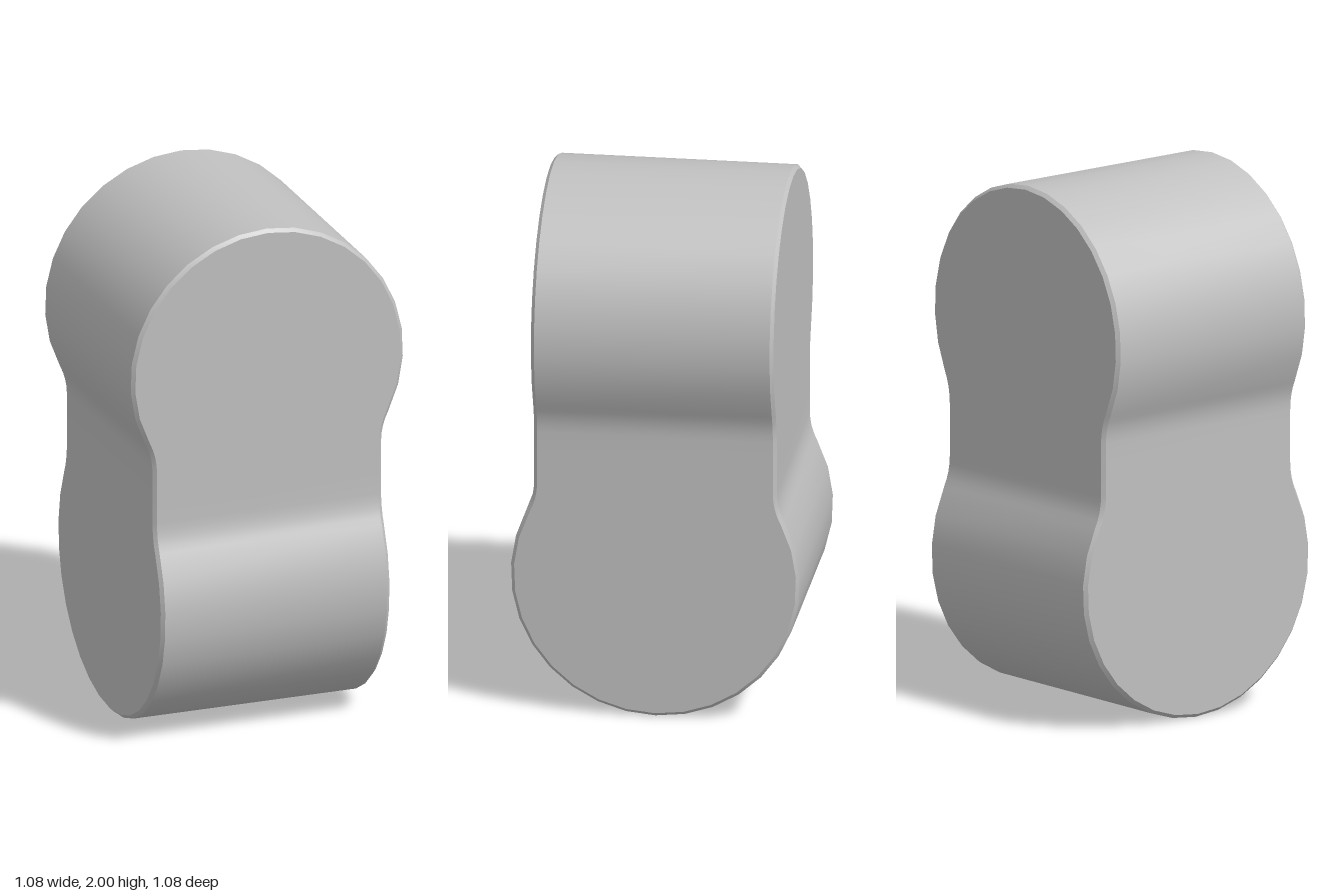
import * as THREE from 'three';
import { toCreasedNormals } from 'three/addons/utils/BufferGeometryUtils.js';

const R = 0.54;        // bulb radius
const CY = 1.46;       // bulb centre height
const HALF = 0.453;    // half thickness, also half neck width
const NECK = 1.1;      // where the neck begins to flare
const CHAMFER = 0.013;

// Right half of the keyhole outline, from the waist to the crown, with outward normals
function outline() {
  const fillet = ((R * R - HALF * HALF) - (CY - NECK) ** 2) / (2 * (HALF - R));
  const cx = HALF + fillet;
  const meet = Math.atan2(CY - NECK, cx);
  const rows = [{ x: HALF, y: 1, nx: 1, ny: 0 }];
  for (let i = 0; i <= 3; i++) {
    const a = meet * i / 4;
    rows.push({
      x: cx - fillet * Math.cos(a), y: NECK + fillet * Math.sin(a),
      nx: Math.cos(a), ny: -Math.sin(a),
    });
  }
  for (let i = 0; i <= 10; i++) {
    const a = -meet + (Math.PI / 2 + meet) * i / 10;
    const nx = i === 10 ? 0 : Math.cos(a), ny = Math.sin(a);
    rows.push({ x: R * nx, y: CY + R * ny, nx, ny });
  }
  return rows;
}

// One bulb: eight-sided chamfered cross-sections joined from waist to crown
function bulbGeometry() {
  const rows = outline();
  const positions = [];
  const index = [];
  const d = HALF - CHAMFER;
  rows.forEach(({ x, y, nx, ny }, i) => {
    const ix = x - nx * CHAMFER, iy = y - ny * CHAMFER;
    positions.push(
      ix, iy, HALF, x, y, d, x, y, -d, ix, iy, -HALF,
      -ix, iy, -HALF, -x, y, -d, -x, y, d, -ix, iy, HALF);
    if (i === rows.length - 1) return;
    for (let k = 0; k < 8; k++) {
      const a = i * 8 + k, b = i * 8 + (k + 1) % 8;
      index.push(a, b, b + 8, a, b + 8, a + 8);
    }
  });
  const geometry = new THREE.BufferGeometry();
  geometry.setAttribute('position', new THREE.Float32BufferAttribute(positions, 3));
  geometry.setIndex(index);
  return toCreasedNormals(geometry, 0.5);
}

export function createModel() {
  const group = new THREE.Group();
  group.name = 'twistedDoubleBulb';
  const grey = new THREE.MeshStandardMaterial({ color: 0xc0c0c0 });
  grey.name = 'grey';

  const upper = new THREE.Mesh(bulbGeometry(), grey);
  upper.name = 'upperBulb';

  // The same bulb turned upside down and a quarter turn about the vertical
  const lowerGeometry = bulbGeometry().translate(0, -1, 0)
    .rotateX(Math.PI).rotateY(Math.PI / 2).translate(0, 1, 0);
  const lower = new THREE.Mesh(lowerGeometry, grey);
  lower.name = 'lowerBulb';

  group.add(upper, lower);
  return group;
}
